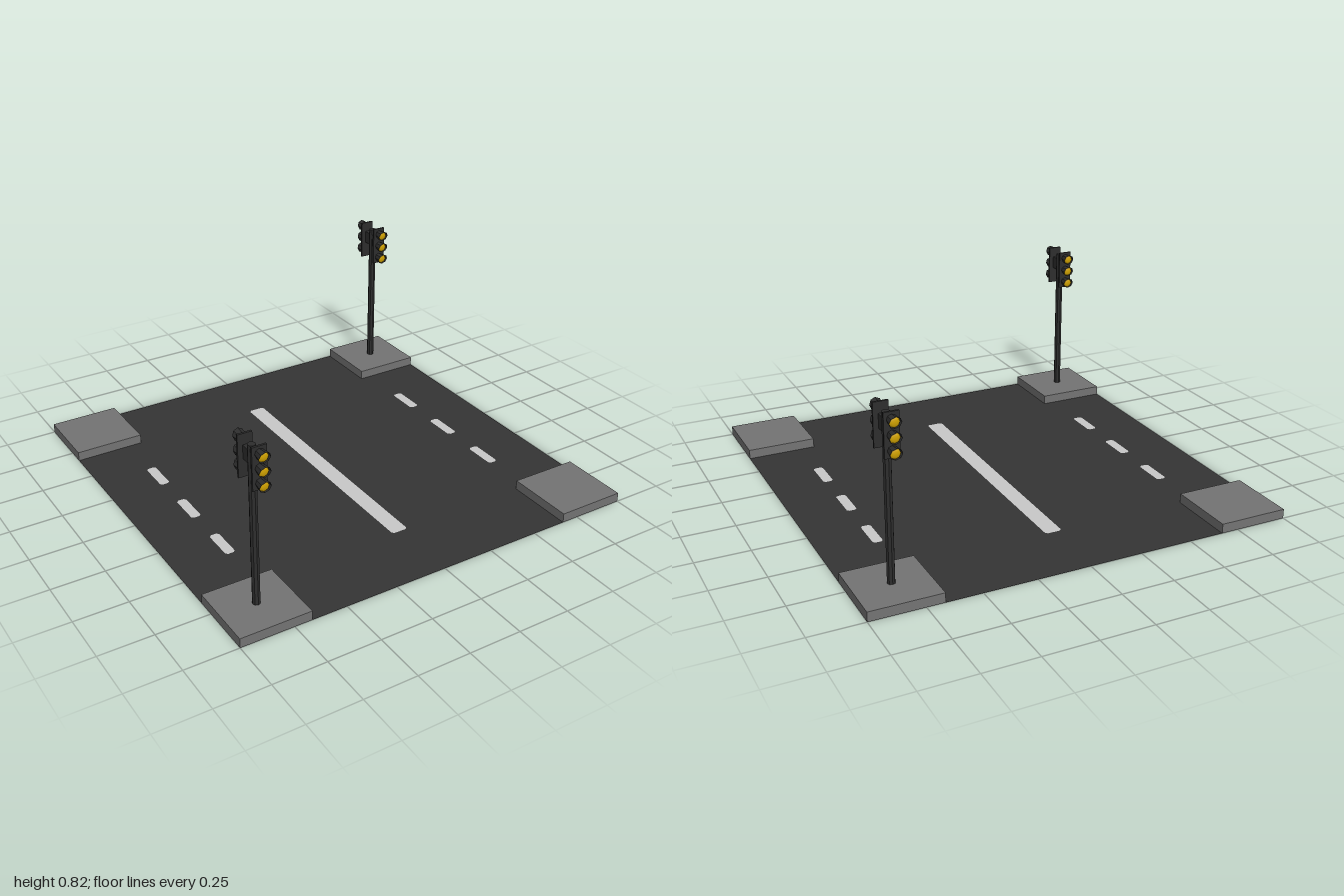
import * as THREE from 'three';

const mat = (name, color, side = THREE.FrontSide) => {
  const m = new THREE.MeshStandardMaterial({ color, side });
  m.name = name;
  return m;
};

export function createModel() {
  const asphalt = mat('asphalt', 0x353535, THREE.DoubleSide);
  const paint = mat('road paint', 0xcacaca, THREE.DoubleSide);
  const concrete = mat('concrete', 0x747474, THREE.DoubleSide);
  const metal = mat('dark metal', 0x2e2e2e, THREE.DoubleSide);
  const amber = mat('amber lamp', 0xd0a200, THREE.DoubleSide);

  const model = new THREE.Group();
  model.name = 'streetCrossing';

  const add = (parent, name, geometry, material, x = 0, y = 0, z = 0) => {
    const mesh = new THREE.Mesh(geometry, material);
    mesh.name = name;
    mesh.position.set(x, y, z);
    parent.add(mesh);
    return mesh;
  };

  // Corners of a marking with cut corners, in ground coordinates
  const markingPoints = (x, z, w, d) => {
    const c = 0.01, a = w / 2, b = d / 2;
    return [
      [-a + c, -b], [a - c, -b], [a, -b + c], [a, b - c],
      [a - c, b], [-a + c, b], [-a, b - c], [-a, -b + c],
    ].map(([u, v]) => new THREE.Vector2(x + u, z + v));
  };
  const flat = (shape) => new THREE.ShapeGeometry(shape).rotateX(-Math.PI / 2);

  // Road surface: a square without its corners, with the markings let in
  const E = 1, K = 0.667;
  const road = new THREE.Shape([
    [-K, -E], [K, -E], [K, -K], [E, -K], [E, K], [K, K],
    [K, E], [-K, E], [-K, K], [-E, K], [-E, -K], [-K, -K],
  ].map(([x, z]) => new THREE.Vector2(x, z)));
  const markings = [['centreLine', -0.003, 0, 0.08, 1.334]];
  for (const x of [-0.73, 0.73])
    for (const z of [-0.333, 0, 0.333]) markings.push(['laneDash', x, z, 0.047, 0.167]);
  for (const [name, ...rect] of markings) {
    const points = markingPoints(...rect);
    road.holes.push(new THREE.Path(points));
    add(model, name, flat(new THREE.Shape(points)), paint);
  }
  add(model, 'road', flat(road), asphalt);

  // Pavement corners, hollow underneath
  const H = 0.045;
  const slab = new THREE.BoxGeometry(E - K, H, E - K);
  const index = Array.from(slab.index.array);
  index.splice(18, 6);
  slab.setIndex(index);
  slab.clearGroups();
  const C = (E + K) / 2;
  for (const x of [-C, C])
    for (const z of [-C, C]) add(model, 'pavementCorner', slab, concrete, x, H / 2, z);

  // Visor: a flared tube whose upper edge reaches further out
  const visor = new THREE.CylinderGeometry(0.027, 0.021, 0.048, 8, 1, true)
    .rotateX(Math.PI / 2).translate(0, 0, 0.024).toNonIndexed();
  const p = visor.attributes.position;
  for (let i = 0; i < p.count; i++)
    if (p.getZ(i) > 0.03) p.setZ(i, 0.044 + p.getY(i) * 0.25);
  visor.computeVertexNormals();

  // Lamp: a shallow dome near the mouth of the visor
  const lamp = new THREE.SphereGeometry(0.0235, 8, 3, 0, Math.PI * 2, 0, Math.PI / 2)
    .scale(1, 0.35, 1).rotateX(Math.PI / 2);

  const pole = new THREE.CylinderGeometry(0.018, 0.018, 0.755, 8).toNonIndexed();
  pole.computeVertexNormals();

  const signalHead = () => {
    const head = new THREE.Group();
    head.name = 'signalHead';
    add(head, 'backPlate', new THREE.BoxGeometry(0.066, 0.193, 0.01), metal, 0, 0.72, 0.057);
    for (const y of [0.785, 0.72, 0.655]) {
      add(head, 'visor', visor, metal, 0, y, 0.06);
      add(head, 'lamp', lamp, amber, 0, y - 0.001, 0.091);
    }
    return head;
  };

  // Two signal posts at opposite corners, each with a head to front and back
  for (const s of [-1, 1]) {
    const post = new THREE.Group();
    post.name = 'signalPost';
    post.position.set(s * C, 0, -s * C);
    add(post, 'pole', pole, metal, 0, 0.04 + 0.755 / 2, 0);
    add(post, 'bracket', new THREE.BoxGeometry(0.022, 0.062, 0.11), metal, 0, 0.736, 0);
    const front = signalHead(), back = signalHead();
    back.rotation.y = Math.PI;
    post.add(front, back);
    model.add(post);
  }

  return model;
}
